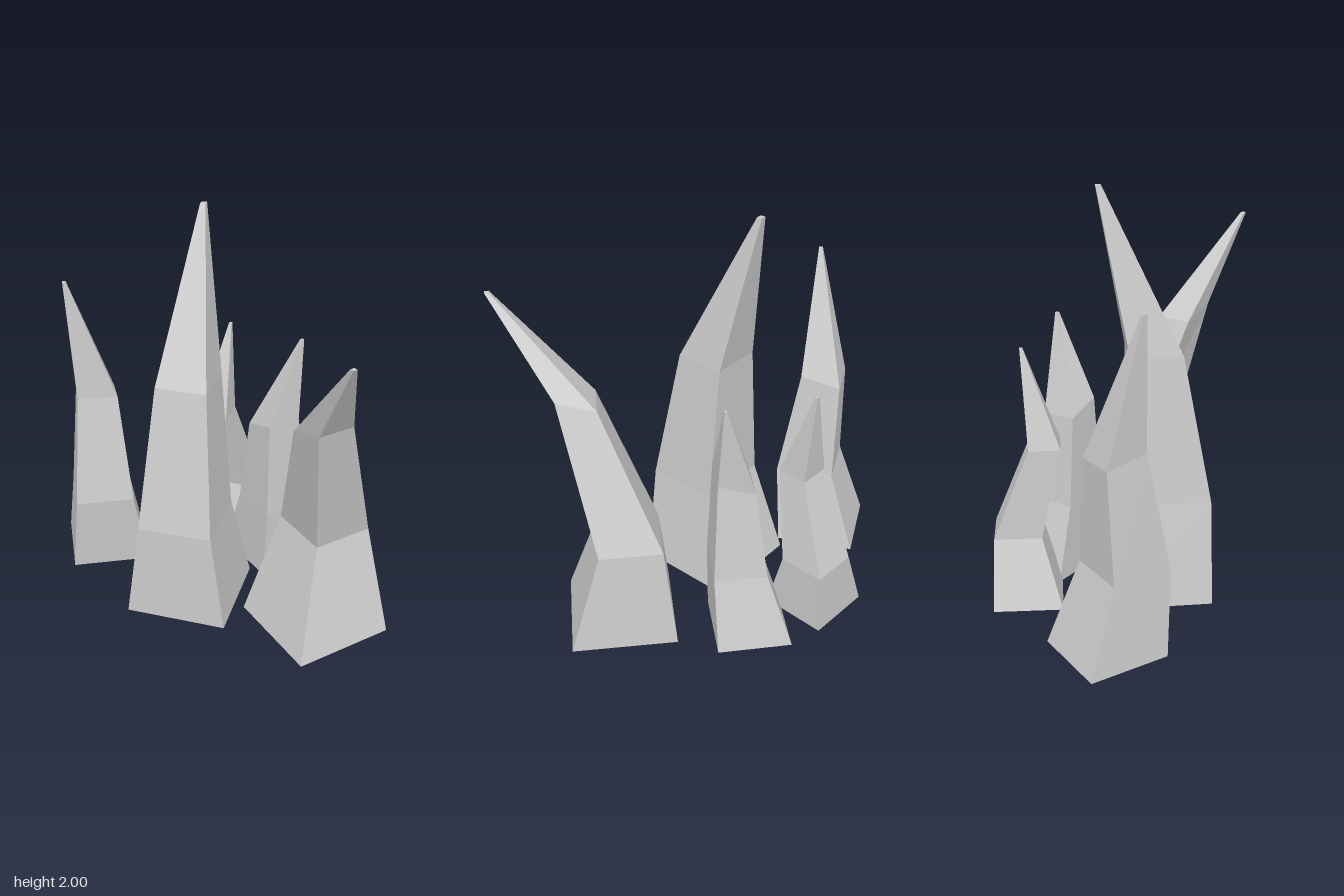
import * as THREE from 'three';

const material = new THREE.MeshStandardMaterial({ color: 0xcccccc, flatShading: true });

// A four-sided spike. Each ring, from base to tip, is
// [centre x, y, z, half diagonal, slope of y along x, slope of y along z].
function makeSpike(name, angle, rings) {
  const last = rings.length - 1;
  const geo = new THREE.CylinderGeometry(1, 1, 1, 4, last);
  const pos = geo.attributes.position;
  const c = Math.cos(angle), s = Math.sin(angle);
  for (let i = 0; i < pos.count; i++) {
    const level = Math.round((pos.getY(i) + 0.5) * last);
    const [x, y, z, r, slopeX = 0, slopeZ = 0] = rings[level];
    const dx = r * (pos.getX(i) * c - pos.getZ(i) * s);
    const dz = r * (pos.getX(i) * s + pos.getZ(i) * c);
    pos.setXYZ(i, x + dx, y + dx * slopeX + dz * slopeZ, z + dz);
  }
  const flat = geo.toNonIndexed();
  flat.computeVertexNormals();
  const mesh = new THREE.Mesh(flat, material);
  mesh.name = name;
  return mesh;
}

export function createModel() {
  const group = new THREE.Group();
  group.name = 'spikeCluster';
  group.add(
    // Tallest spike, leaning back
    makeSpike('centreSpike', Math.PI / 4, [
      [-0.1, 0.01, 0.1, 0.354],
      [-0.1, 0.52, 0.165, 0.256],
      [-0.1, 1.23, 0.09, 0.175],
      [-0.1, 2, -0.163, 0.018],
    ]),
    // Wide spike curling forward
    makeSpike('frontLeftSpike', -0.04, [
      [0.562, 0.01, 0.15, 0.36],
      [0.57, 0.54, 0.065, 0.213],
      [0.59, 1.22, 0.34, 0.13, 0.23, 0.23],
      [0.752, 1.7, 0.677, 0.014],
    ]),
    // Spike on the far right side
    makeSpike('rightSpike', 0.33, [
      [-0.665, 0, -0.19, 0.28],
      [-0.645, 0.41, -0.105, 0.207],
      [-0.67, 0.95, -0.15, 0.14, 0.08, 0.2],
      [-0.753, 1.59, -0.035, 0.012],
    ]),
    // Two short spikes at the back
    makeSpike('backLeftSpike', -0.06, [
      [0.215, 0, -0.385, 0.255],
      [0.23, 0.37, -0.315, 0.18],
      [0.225, 0.85, -0.29, 0.125, 0.24, 0.24],
      [0.342, 1.3, -0.335, 0.01],
    ]),
    makeSpike('backSpike', Math.PI / 4 + 0.045, [
      [-0.135, 0, -0.525, 0.235],
      [-0.075, 0.33, -0.565, 0.162],
      [-0.115, 0.78, -0.43, 0.107],
      [-0.07, 1.25, -0.525, 0.01],
    ]),
  );
  return group;
}
